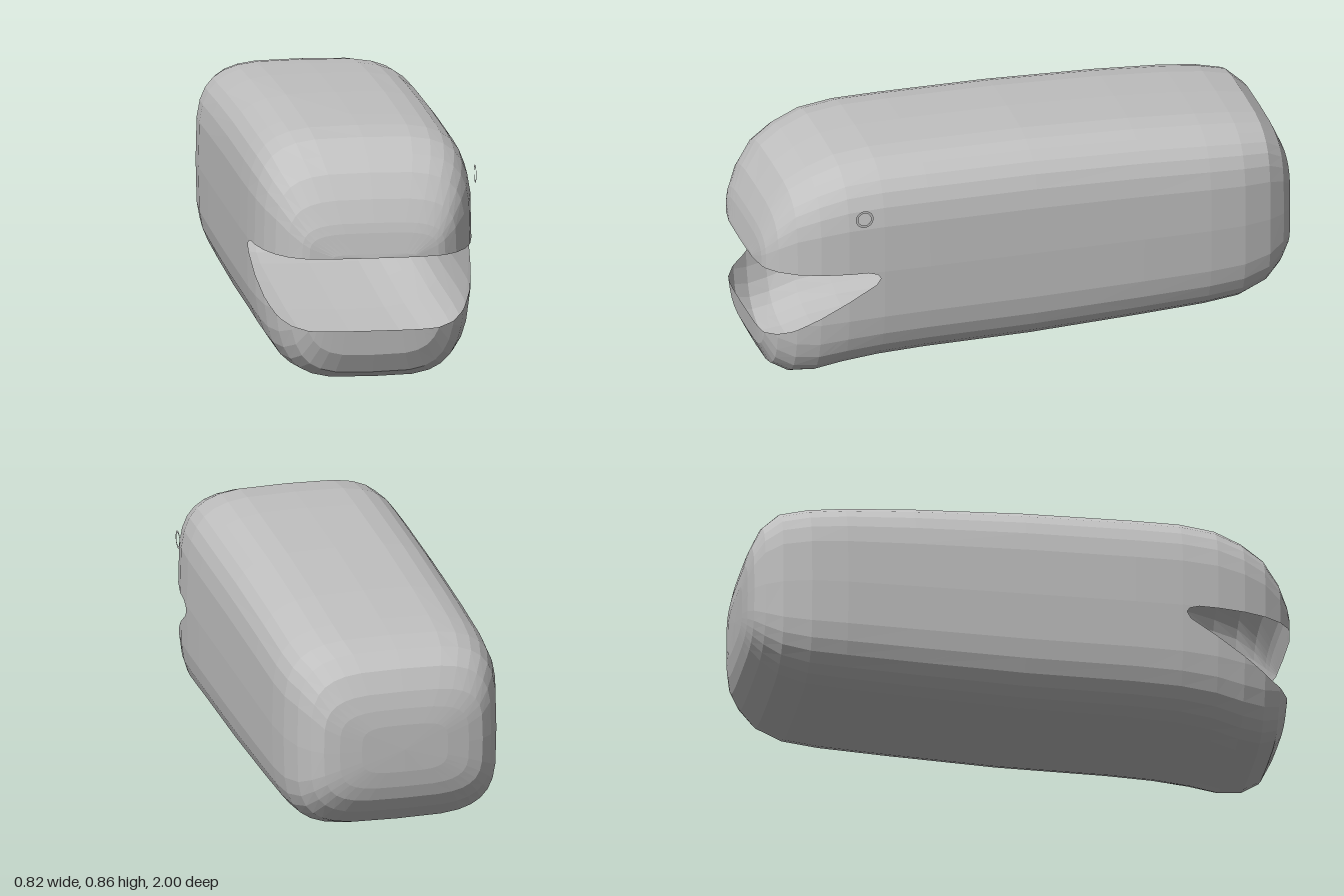
import * as THREE from 'three';

// Body stations from nose to tail: z, half width, top y, bottom y
const STATIONS = [
  [1, 0, 0.46, 0.46], [0.998, 0.15, 0.475, 0.42], [0.985, 0.235, 0.55, 0.19],
  [0.975, 0.26, 0.585, 0.1], [0.94, 0.305, 0.665, 0.03], [0.88, 0.345, 0.75, 0.001],
  [0.8, 0.375, 0.802, 0.004], [0.7, 0.394, 0.843, 0.03], [0.57, 0.403, 0.86, 0.048],
  [0.4, 0.405, 0.862, 0.056], [0, 0.405, 0.86, 0.06], [-0.4, 0.405, 0.845, 0.078],
  [-0.65, 0.404, 0.828, 0.092], [-0.78, 0.395, 0.815, 0.106], [-0.88, 0.37, 0.797, 0.145],
  [-0.94, 0.335, 0.745, 0.205], [-0.975, 0.295, 0.67, 0.26], [-0.99, 0.24, 0.61, 0.31],
  [-0.998, 0.16, 0.55, 0.37], [-1, 0, 0.455, 0.455],
];

// Side outline (z, y) of the open mouth, counter-clockwise
const MOUTH = [
  [1.2, 0.46], [0.63, 0.46], [0.595, 0.45], [0.585, 0.435], [0.6, 0.41], [0.9, 0.225], [1.2, 0.105],
];

const SIDES = 32;
const MID_Y = 0.46;
const CENTRE_X = -0.005;

// Point on a squarish rounded cross-section
function sectionPoint([z, w, top, bottom], j) {
  const a = ((j % SIDES) / SIDES) * Math.PI * 2;
  const round = (v) => (Math.abs(v) < 1e-9 ? 0 : Math.sign(v) * Math.sqrt(Math.abs(v)));
  const mid = Math.min(Math.max(MID_Y, bottom), top);
  const s = round(Math.sin(a));
  const y = mid + s * (s > 0 ? top - mid : mid - bottom);
  return new THREE.Vector3(CENTRE_X + w * round(Math.cos(a)), y, z);
}

// Part of a polygon on the positive side of a distance function
function clip(poly, dist) {
  const out = [];
  poly.forEach((p, i) => {
    const q = poly[(i + 1) % poly.length];
    const dp = dist(p), dq = dist(q);
    if (dp >= 0) out.push(p);
    if (dp * dq < 0) out.push(p.clone().lerp(q, dp / (dp - dq)));
  });
  return out;
}

// Pieces of a polygon lying outside the mouth wedge
function cutMouth(poly) {
  const kept = [];
  let rest = poly;
  for (let i = 0; i < MOUTH.length - 1 && rest.length > 2; i++) {
    const [az, ay] = MOUTH[i], [bz, by] = MOUTH[i + 1];
    const inside = (p) => (bz - az) * (p.y - ay) - (by - ay) * (p.z - az);
    kept.push(clip(rest, (p) => -inside(p)));
    rest = clip(rest, inside);
  }
  return kept;
}

function bodyGeometry() {
  const positions = [];
  const tri = new THREE.Triangle();
  for (let i = 0; i < STATIONS.length - 1; i++) {
    for (let j = 0; j < SIDES; j++) {
      const quad = [
        sectionPoint(STATIONS[i], j), sectionPoint(STATIONS[i + 1], j),
        sectionPoint(STATIONS[i + 1], j + 1), sectionPoint(STATIONS[i], j + 1),
      ];
      for (const poly of cutMouth(quad)) {
        for (let k = 1; k < poly.length - 1; k++) {
          tri.set(poly[0], poly[k], poly[k + 1]);
          if (tri.getArea() < 1e-9) continue;
          for (const p of [tri.a, tri.b, tri.c]) positions.push(p.x, p.y, p.z);
        }
      }
    }
  }
  const geometry = new THREE.BufferGeometry();
  geometry.setAttribute('position', new THREE.Float32BufferAttribute(positions, 3));
  geometry.computeVertexNormals();
  return geometry;
}

export function createModel() {
  const model = new THREE.Group();
  model.name = 'whale';
  const grey = new THREE.MeshStandardMaterial({ color: 0xc0c0c0, flatShading: true, side: THREE.DoubleSide });
  grey.name = 'grey';

  // Hollow body with open mouth
  const body = new THREE.Mesh(bodyGeometry(), grey);
  body.name = 'body';
  model.add(body);

  // Flat eye ring, on one side only
  const eye = new THREE.Mesh(new THREE.RingGeometry(0.024, 0.033, 32), grey);
  eye.name = 'eyeRing';
  eye.rotation.y = Math.PI / 2;
  eye.position.set(0.41, 0.685, 0.65);
  model.add(eye);

  return model;
}
